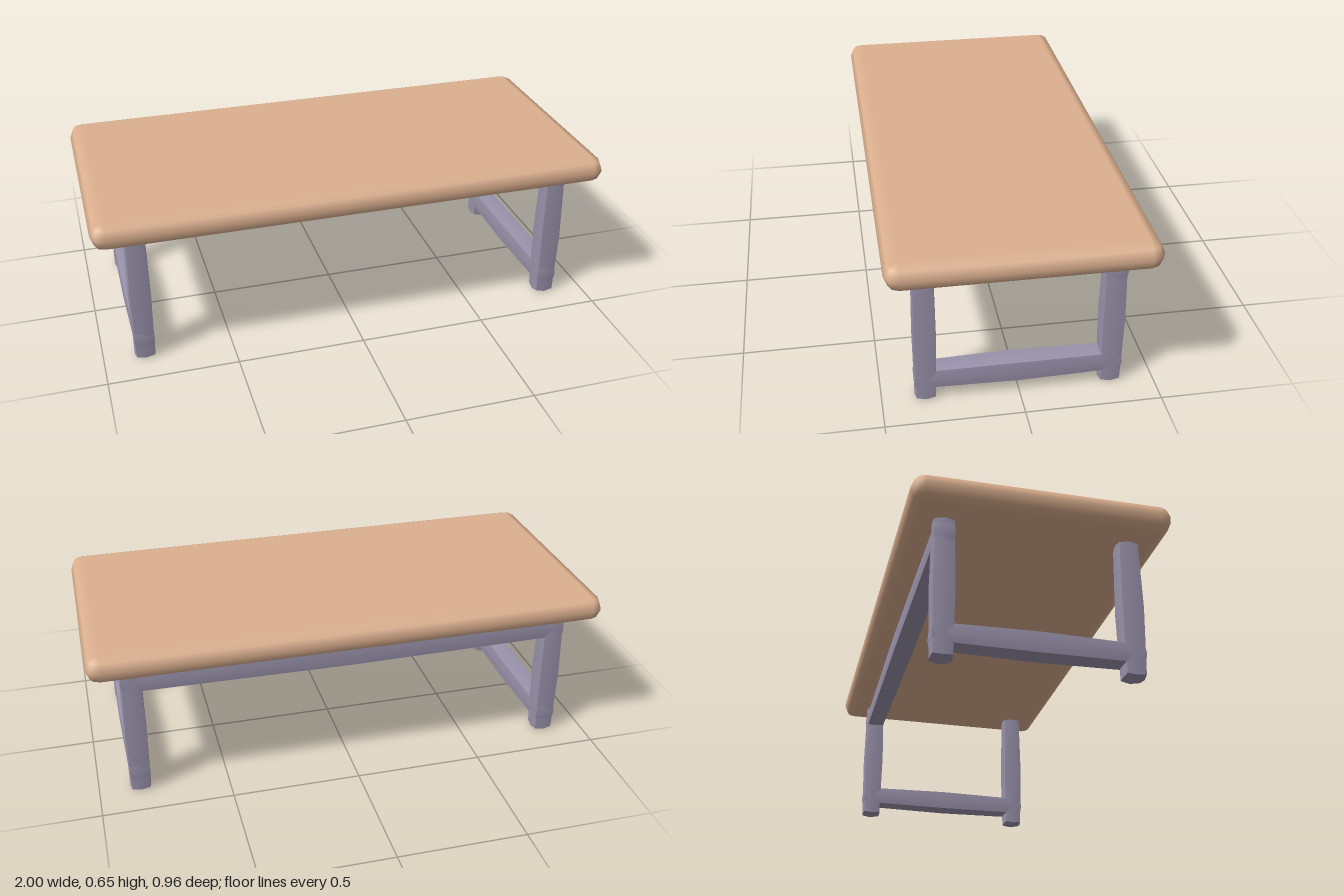
import * as THREE from 'three';

const BULGE = 0.008;

// Bar with slightly swollen faces: points nearer the middle of a face move further out
function barGeometry(w, h, d) {
  const geo = new THREE.BoxGeometry(w, h, d, 2, 2, 2);
  const pos = geo.attributes.position;
  for (let i = 0; i < pos.count; i++) {
    const s = [pos.getX(i) / w, pos.getY(i) / h, pos.getZ(i) / d].map((v) => Math.round(v * 2));
    const zeros = s.filter((v) => v === 0).length;
    const push = BULGE * [0, 0.6, 1][zeros];
    pos.setXYZ(i, pos.getX(i) + s[0] * push, pos.getY(i) + s[1] * push, pos.getZ(i) + s[2] * push);
  }
  geo.computeVertexNormals();
  return geo;
}

// Slab with a fully rounded rim and rounded corners, as stacked rings
function slabGeometry(w, h, d) {
  const r = h / 2, steps = 2, rings = steps * 2 + 1, n = 4 * (steps + 1);
  const p = [], nor = [], idx = [];
  for (let k = 0; k < rings; k++) {
    const tilt = -Math.PI / 2 + (k / (rings - 1)) * Math.PI;
    for (let c = 0; c < 4; c++) {
      const sx = c === 0 || c === 3 ? 1 : -1, sz = c < 2 ? 1 : -1;
      for (let s = 0; s <= steps; s++) {
        const a = (c + s / steps) * Math.PI / 2;
        const nx = Math.cos(a) * Math.cos(tilt), ny = Math.sin(tilt), nz = Math.sin(a) * Math.cos(tilt);
        p.push(sx * (w / 2 - r) + nx * r, ny * r, sz * (d / 2 - r) + nz * r);
        nor.push(nx, ny, nz);
      }
    }
  }
  for (let k = 0; k < rings - 1; k++) {
    for (let i = 0; i < n; i++) {
      const a = k * n + i, b = k * n + (i + 1) % n;
      idx.push(a, a + n, b, b, a + n, b + n);
    }
  }
  // Flat underside and top
  const q = steps + 1, t = (rings - 1) * n;
  idx.push(0, q, 2 * q, 0, 2 * q, 3 * q);
  idx.push(t, t + 2 * q, t + q, t, t + 3 * q, t + 2 * q);
  const geo = new THREE.BufferGeometry();
  geo.setAttribute('position', new THREE.Float32BufferAttribute(p, 3));
  geo.setAttribute('normal', new THREE.Float32BufferAttribute(nor, 3));
  geo.setIndex(idx);
  return geo;
}

export function createModel() {
  const model = new THREE.Group();
  model.name = 'table';
  const wood = new THREE.MeshStandardMaterial({ color: 0xdcb08f });
  wood.name = 'lightWood';
  const frame = new THREE.MeshStandardMaterial({ color: 0x9a93ac });
  frame.name = 'greyViolet';

  const add = (name, geo, mat, x, y, z) => {
    const mesh = new THREE.Mesh(geo, mat);
    mesh.name = name;
    mesh.position.set(x, y, z);
    model.add(mesh);
  };

  add('tableTop', slabGeometry(2, 0.103, 0.956), wood, 0, 0.594, 0);

  // Legs and low side rails, mirrored left and right
  const T = 0.07, LX = 0.84, LZ = 0.34;
  const leg = barGeometry(T, 0.526, T);
  const sideRail = barGeometry(T, T, 2 * LZ + T);
  for (const [side, sx] of [['left', 1], ['right', -1]]) {
    add(side + 'FrontLeg', leg, frame, sx * LX, 0.271, LZ);
    add(side + 'BackLeg', leg, frame, sx * LX, 0.271, -LZ);
    add(side + 'SideRail', sideRail, frame, sx * LX, 0.088, 0);
  }

  // Long rail under the top, joining the back legs
  add('backRail', barGeometry(2 * LX + T, T, T), frame, 0, 0.481, -LZ);

  return model;
}
